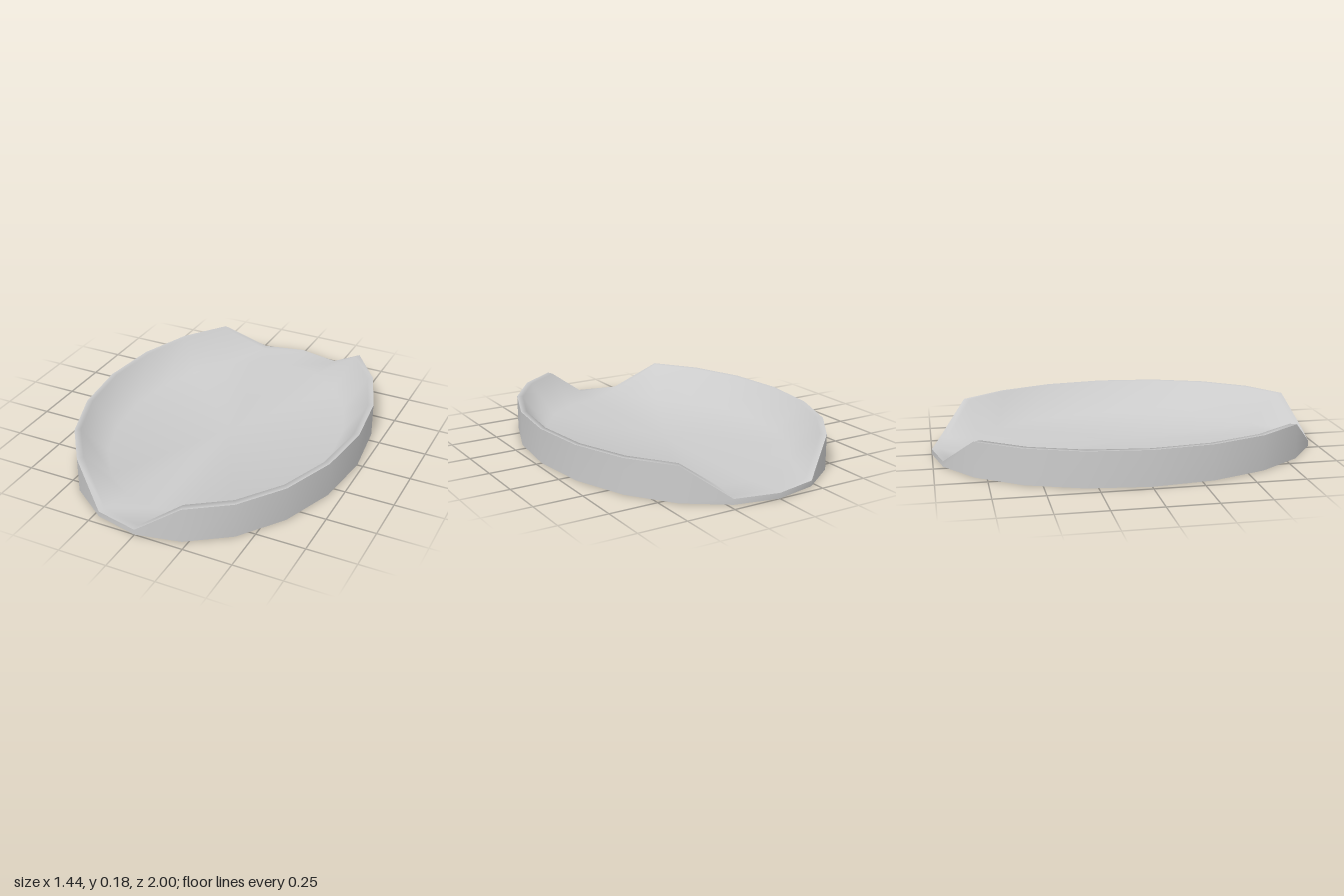
import * as THREE from 'three';

const SIDES = 20;
const HALF_WIDTH = 0.72;
const HALF_LENGTH = 1;
const RIM_HEIGHT = 0.18;
const LIP_HEIGHT = 0.028;
const FLOOR = 0.02;
const LOW_CORNERS = [19, 0, 9, 10, 11]; // pouring notches: two corners in front, three behind

const rimHeight = i => (LOW_CORNERS.includes(i) ? LIP_HEIGHT : RIM_HEIGHT);
const floorHeight = () => FLOOR;

// Joins elliptical rings of [scale, height(corner)] into a smooth band; a final scale of 0 closes it
function ringSurface(name, rings, material) {
  const positions = [];
  const index = [];
  for (const [scale, height] of rings) {
    for (let i = 0; i < SIDES; i++) {
      const a = (i / SIDES) * Math.PI * 2;
      positions.push(Math.sin(a) * HALF_WIDTH * scale, height(i), Math.cos(a) * HALF_LENGTH * scale);
    }
  }
  const last = rings.length - 1;
  const closed = rings[last][0] === 0;
  for (let k = 0; k < last; k++) {
    for (let i = 0; i < SIDES; i++) {
      const j = (i + 1) % SIDES;
      const a = k * SIDES + i, b = k * SIDES + j;
      const tip = closed && k === last - 1;
      const c = (k + 1) * SIDES + (tip ? 0 : j), d = (k + 1) * SIDES + i;
      index.push(a, b, c);
      if (!tip) index.push(a, c, d);
    }
  }
  const geometry = new THREE.BufferGeometry();
  geometry.setAttribute('position', new THREE.Float32BufferAttribute(positions, 3));
  geometry.setIndex(index);
  geometry.computeVertexNormals();
  const mesh = new THREE.Mesh(geometry, material);
  mesh.name = name;
  return mesh;
}

export function createModel() {
  const group = new THREE.Group();
  group.name = 'dish';
  const material = new THREE.MeshStandardMaterial({ color: 0xcccccc, side: THREE.DoubleSide });

  // Upright outer wall with the two notches
  group.add(ringSurface('outerWall', [[1, () => 0], [1, rimHeight]], material));

  // Narrow rim, steep inner wall and flat floor, shaded as one smooth hollow
  group.add(ringSurface('hollow', [
    [1, rimHeight], [0.96, rimHeight], [0.8, floorHeight], [0, floorHeight],
  ], material));

  // Flat underside
  const base = new THREE.Mesh(new THREE.CircleGeometry(1, SIDES), material);
  base.name = 'base';
  base.geometry.rotateX(Math.PI / 2).rotateY(Math.PI / 2).scale(HALF_WIDTH, 1, HALF_LENGTH);
  group.add(base);

  return group;
}
